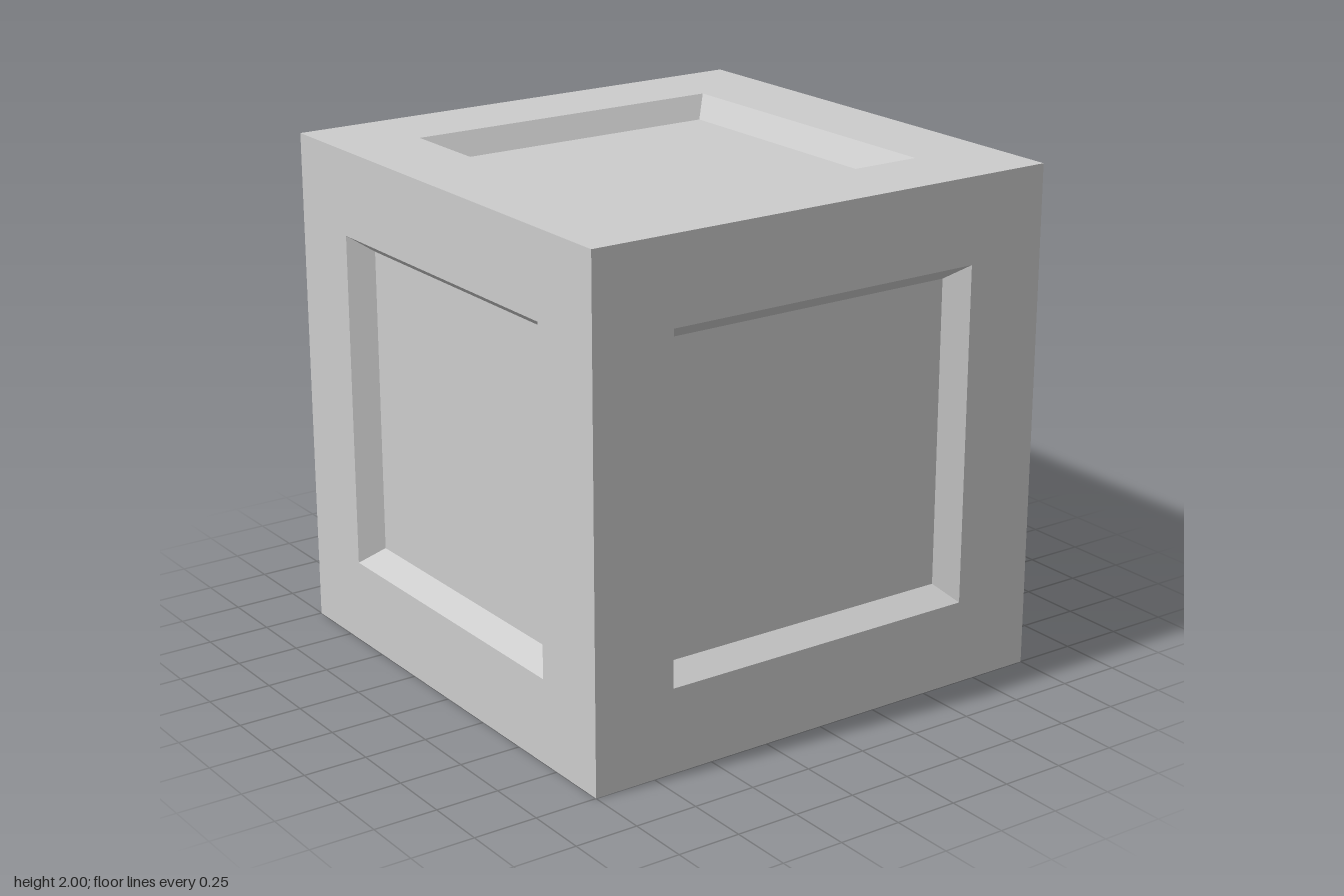
import * as THREE from 'three';

const HALF = 1, OPENING = 0.667, FLOOR = 0.605, DEPTH = 0.088;

// Square ring between two concentric squares [halfSize, z], facing +z
function squareRing([r0, z0], [r1, z1]) {
  const corners = [[-1, -1], [1, -1], [1, 1], [-1, 1]];
  const pos = [];
  for (let i = 0; i < 4; i++) {
    const [ax, ay] = corners[i], [bx, by] = corners[(i + 1) % 4];
    const a = [ax * r0, ay * r0, z0], b = [bx * r0, by * r0, z0];
    const c = [bx * r1, by * r1, z1], d = [ax * r1, ay * r1, z1];
    pos.push(...a, ...b, ...c, ...a, ...c, ...d);
  }
  const g = new THREE.BufferGeometry();
  g.setAttribute('position', new THREE.Float32BufferAttribute(pos, 3));
  g.computeVertexNormals();
  return g;
}

export function createModel() {
  const model = new THREE.Group();
  model.name = 'panelledCube';
  const material = new THREE.MeshStandardMaterial({ color: 0xcccccc, flatShading: true });

  // Parts of one side: flat rim, sloped recess walls, sunken panel
  const parts = {
    rim: squareRing([HALF, HALF], [OPENING, HALF]),
    recessWalls: squareRing([OPENING, HALF], [FLOOR, HALF - DEPTH]),
    panel: new THREE.PlaneGeometry(2 * FLOOR, 2 * FLOOR).translate(0, 0, HALF - DEPTH),
  };

  // The same side turned to all six directions
  const q = Math.PI / 2;
  const sides = {
    front: [0, 0], left: [0, q], back: [0, 2 * q], right: [0, -q], top: [-q, 0], bottom: [q, 0],
  };
  for (const [name, [rx, ry]] of Object.entries(sides)) {
    const side = new THREE.Group();
    side.name = name + 'Side';
    for (const [part, geometry] of Object.entries(parts)) {
      const mesh = new THREE.Mesh(geometry, material);
      mesh.name = part;
      side.add(mesh);
    }
    side.rotation.set(rx, ry, 0);
    side.position.y = HALF;
    model.add(side);
  }
  return model;
}
